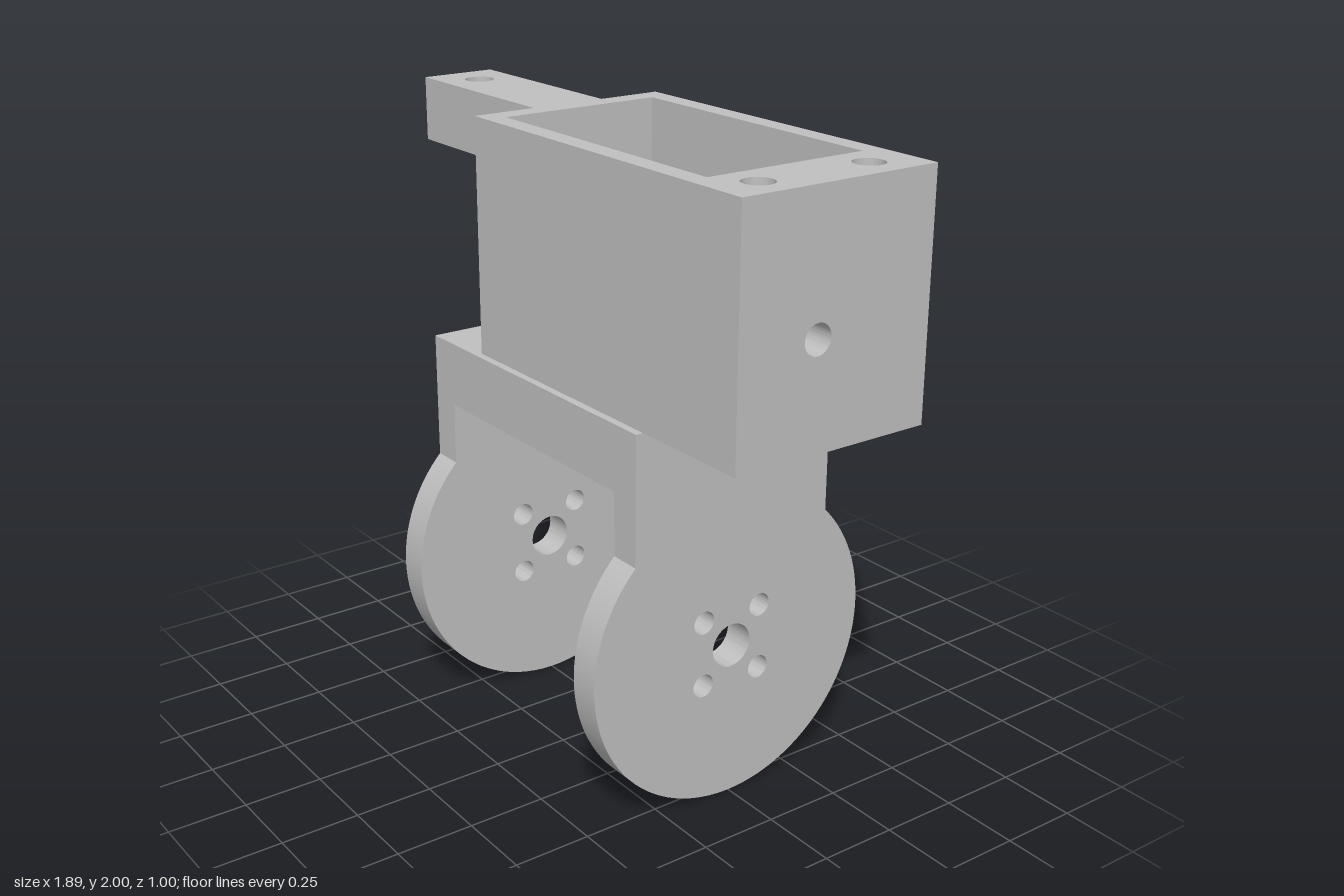
import * as THREE from 'three';
import { toCreasedNormals } from 'three/addons/utils/BufferGeometryUtils.js';

const grey = new THREE.MeshStandardMaterial({ color: 0xc0c0c0 });
grey.name = 'plain grey';

function polygon(points, PathType = THREE.Shape) {
  return new PathType(points.map(([x, y]) => new THREE.Vector2(x, y)));
}

function rectangle(x0, x1, y0, y1, PathType = THREE.Shape) {
  return polygon([[x0, y0], [x1, y0], [x1, y1], [x0, y1]], PathType);
}

function circle(x, y, radius) {
  return new THREE.Path().absarc(x, y, radius, 0, Math.PI * 2, true);
}

function extrude(shape, depth) {
  return new THREE.ExtrudeGeometry(shape, { depth, bevelEnabled: false, curveSegments: 48 });
}

function part(name, geometry) {
  const mesh = new THREE.Mesh(toCreasedNormals(geometry, 0.5), grey);
  mesh.name = name;
  return mesh;
}

// Plan outline (x, -z) raised from y0 to y1
function upright(name, shape, y0, y1) {
  return part(name, extrude(shape, y1 - y0).rotateX(-Math.PI / 2).translate(0, y0, 0));
}

// Side outline (-z, y) spread from x0 to x1
function sideways(name, shape, x0, x1) {
  return part(name, extrude(shape, x1 - x0).rotateY(Math.PI / 2).translate(x0, 0, 0));
}

export function createModel() {
  const model = new THREE.Group();
  model.name = 'servoBracket';

  const bottom = 1.26, holeFloor = 1.85, top = 2;
  const back = -0.30, front = 0.945, half = 0.333;
  const cavBack = -0.23, cavFront = 0.725, cavHalf = 0.268;
  const armEnd = -0.95, armHalf = 0.125;

  // Housing rim and arm top, with the blind screw holes
  const rim = polygon([
    [armEnd, -armHalf], [back, -armHalf], [back, -half], [front, -half],
    [front, half], [back, half], [back, armHalf], [armEnd, armHalf],
  ]);
  rim.holes.push(rectangle(cavBack, cavFront, -cavHalf, cavHalf, THREE.Path));
  rim.holes.push(circle(-0.815, 0, 0.047));
  for (const z of [-0.19, 0.19]) rim.holes.push(circle(0.835, z, 0.047));
  model.add(upright('housingRim', rim, holeFloor, top));

  // Underside of the arm
  model.add(upright('armBase', rectangle(armEnd, back, -armHalf, armHalf), 1.795, holeFloor));

  // Three thin housing walls
  const walls = polygon([
    [cavFront, -half], [cavFront, -cavHalf], [cavBack, -cavHalf], [cavBack, cavHalf],
    [cavFront, cavHalf], [cavFront, half], [back, half], [back, -half],
  ]);
  model.add(upright('housingWalls', walls, bottom, holeFloor));

  // Thick end wall with the cable hole
  const endWall = rectangle(-half, half, bottom, holeFloor);
  endWall.holes.push(circle(-0.065, 1.585, 0.046));
  model.add(sideways('endWall', endWall, cavFront, front));

  // Fork bridge with its rectangular opening
  const legOut = 0.543, legIn = 0.44, legHalf = 0.357;
  const bridge = rectangle(-legIn, legIn, -legHalf, legHalf);
  bridge.holes.push(rectangle(-0.15, 0.15, -0.102, 0.102, THREE.Path));
  model.add(upright('forkBridge', bridge, 1.055, bottom));

  // Fork legs: straight shank running into a round horn plate
  const radius = 0.502;
  const shoulder = Math.acos(legHalf / radius);
  const leg = new THREE.Shape();
  leg.moveTo(legHalf, bottom);
  leg.lineTo(-legHalf, bottom);
  leg.absarc(0, radius, radius, Math.PI - shoulder, Math.PI * 2 + shoulder, false);
  leg.closePath();
  leg.holes.push(circle(0, radius, 0.07));
  for (const z of [-0.105, 0.105]) {
    for (const y of [-0.105, 0.105]) leg.holes.push(circle(z, radius + y, 0.037));
  }
  model.add(sideways('leftLeg', leg, legIn, legOut));
  model.add(sideways('rightLeg', leg, -legOut, -legIn));

  return model;
}
